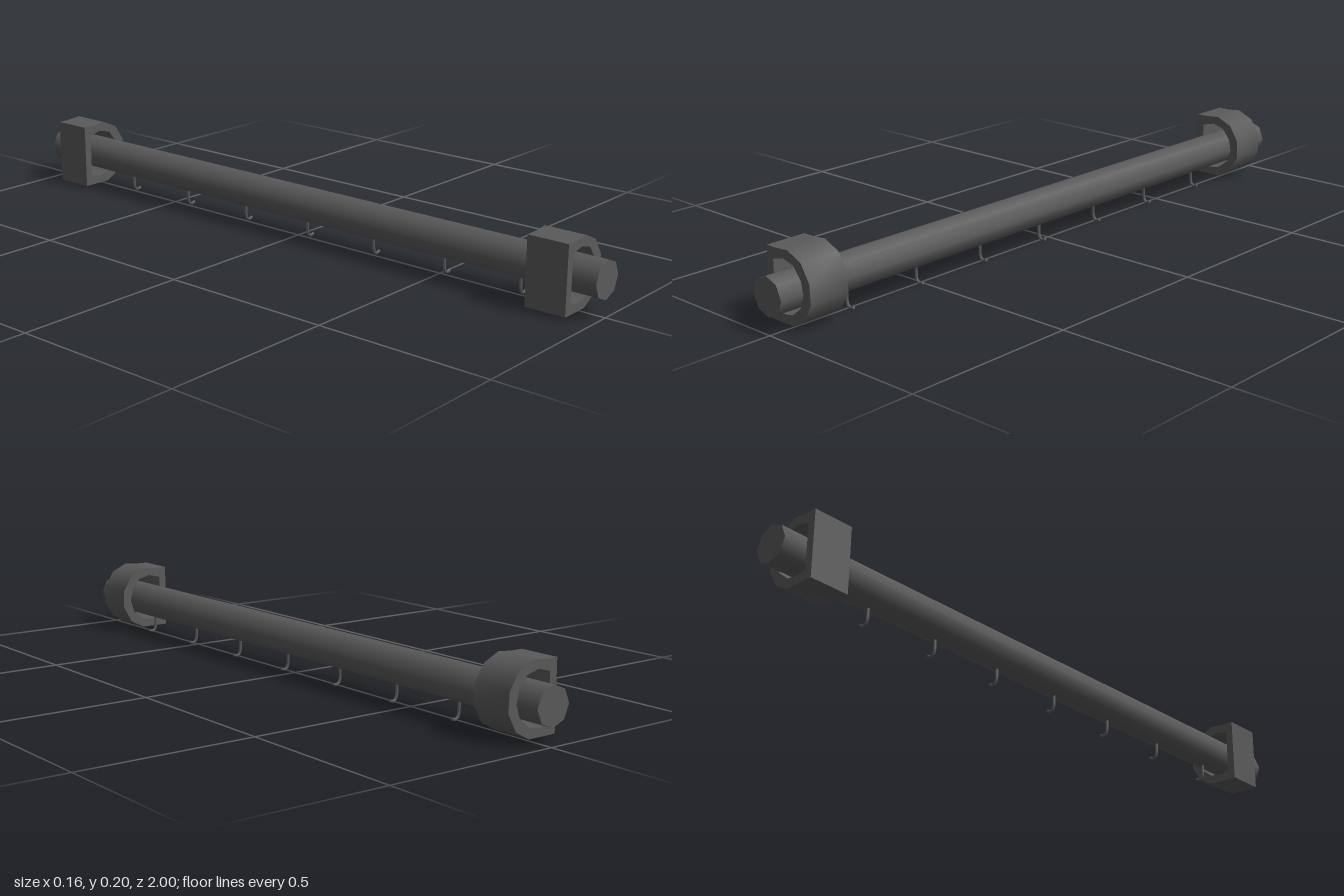
import * as THREE from 'three';
import { toCreasedNormals } from 'three/addons/utils/BufferGeometryUtils.js';

const points = (list) => list.map(([x, y]) => new THREE.Vector2(x, y));

export function createModel() {
  const group = new THREE.Group();
  const metal = new THREE.MeshStandardMaterial({ color: 0x5a5a5a });
  metal.name = 'dark grey metal';

  const add = (name, geometry, parent = group) => {
    const mesh = new THREE.Mesh(geometry, metal);
    mesh.name = name;
    parent.add(mesh);
    return mesh;
  };

  // Eight-sided rail running front to back
  const rod = new THREE.CylinderGeometry(0.053, 0.053, 2, 8);
  rod.rotateX(Math.PI / 2);
  add('rail', rod).position.set(-0.002, 0.101, 0);

  // D-shaped wall brackets with a hollow centre
  const outline = new THREE.Shape(points([
    [-0.08, 0.008], [0.008, 0.008], [0.052, 0.032], [0.079, 0.08], [0.077, 0.134],
    [0.048, 0.18], [0, 0.202], [-0.047, 0.198], [-0.08, 0.198],
  ]));
  outline.holes.push(new THREE.Path(points([
    [-0.057, 0.04], [-0.057, 0.167], [-0.018, 0.177], [0.02, 0.167], [0.045, 0.135],
    [0.053, 0.1], [0.041, 0.063], [0.008, 0.036], [-0.03, 0.031],
  ])));
  const bracket = toCreasedNormals(
    new THREE.ExtrudeGeometry(outline, { depth: 0.118, bevelEnabled: false }), 0.65);
  add('frontBracket', bracket).position.z = 0.816;
  add('backBracket', bracket).position.z = -0.934;

  // Row of small hooks under the rail
  const path = new THREE.CatmullRomCurve3([
    [-0.002, 0.06], [-0.002, 0.036], [-0.001, 0.018], [0.004, 0.008], [0.013, 0.005], [0.023, 0.009],
  ].map(([x, y]) => new THREE.Vector3(x, y, 0)));
  const wire = new THREE.TubeGeometry(path, 12, 0.0045, 6);
  const tip = new THREE.CircleGeometry(0.0045, 6);
  tip.lookAt(path.getTangent(1));
  tip.translate(...path.getPoint(1).toArray());
  for (let i = 0; i < 7; i++) {
    const hook = new THREE.Group();
    hook.name = `hook${i + 1}`;
    add('hookWire', wire, hook);
    add('hookTip', tip, hook);
    hook.position.z = 0.754 - i * 0.239;
    group.add(hook);
  }
  return group;
}
